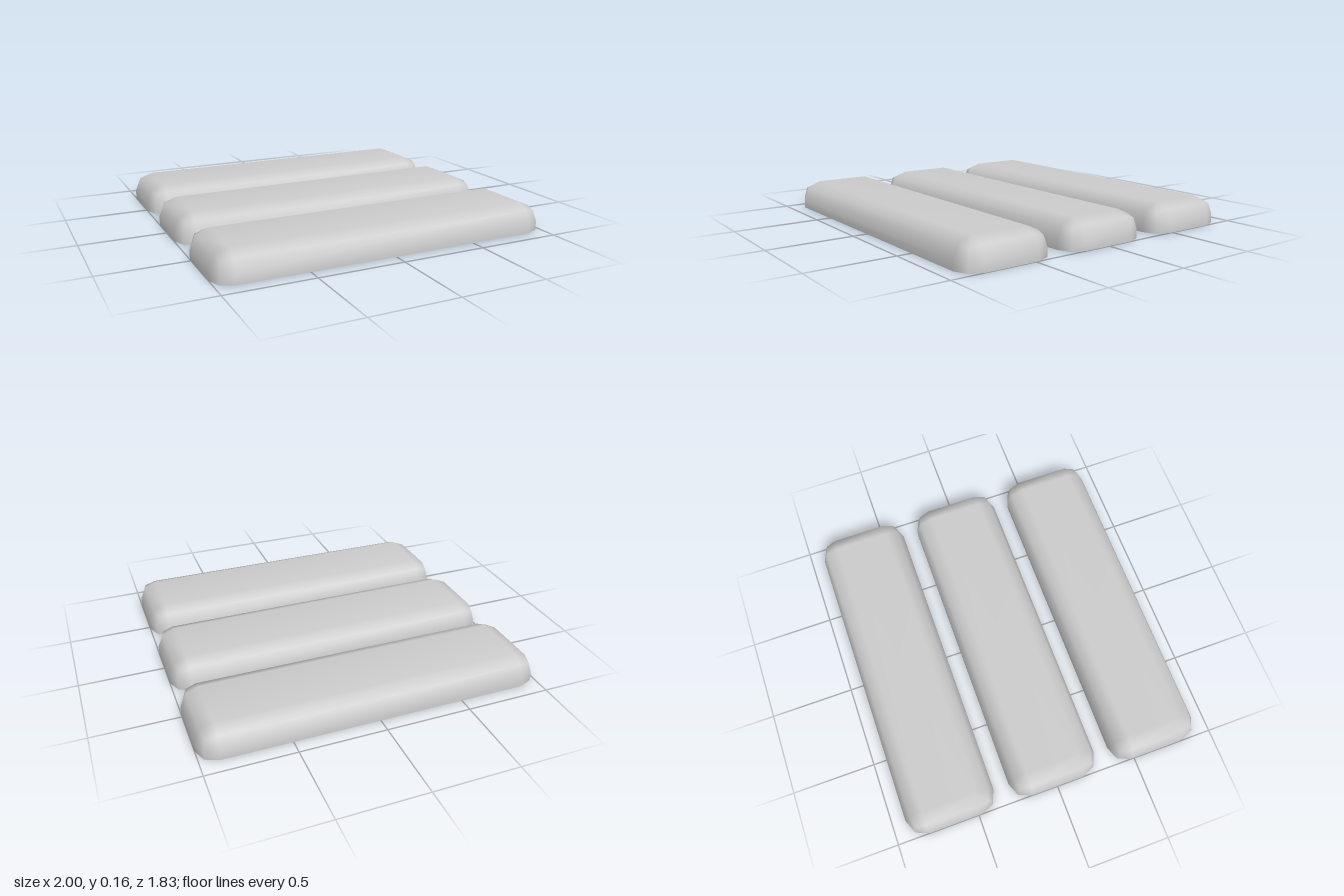
import * as THREE from 'three';

const HALF_X = 1, HALF_Z = 0.273, HEIGHT = 0.163, R = 0.11;

// Open-bottomed slab shell with two-step rounded edges, built as stacked rings.
function slabGeometry() {
  const positions = [], index = [];
  const coreX = HALF_X - R, coreZ = HALF_Z - R, coreY = HEIGHT - R;
  const corners = [[1, -1], [-1, -1], [-1, 1], [1, 1]];

  // Rings of three points per corner: base, top of the wall, middle of the bevel
  for (let ring = 0; ring < 3; ring++) {
    corners.forEach(([sx, sz], k) => {
      for (let j = 0; j < 3; j++) {
        const angle = (k * 2 + j) * Math.PI / 4;
        const lift = ring < 2 ? 0 : j === 1 ? Math.sqrt(1 / 3) : Math.SQRT1_2;
        const r = R * Math.sqrt(1 - lift * lift);
        positions.push(
          sx * coreX + r * Math.cos(angle),
          ring === 0 ? 0 : coreY + R * lift,
          sz * coreZ - r * Math.sin(angle));
      }
    });
  }
  // Flat top: one point per corner
  for (const [sx, sz] of corners) positions.push(sx * coreX, HEIGHT, sz * coreZ);

  const id = (ring, i) => ring < 3 ? ring * 12 + i % 12 : 36 + Math.floor((i % 12) / 3);
  for (let ring = 0; ring < 3; ring++) {
    for (let i = 0; i < 12; i++) {
      const a = id(ring, i), b = id(ring, i + 1), c = id(ring + 1, i + 1), d = id(ring + 1, i);
      index.push(a, b, c);
      if (c !== d) index.push(a, c, d);
    }
  }
  index.push(36, 37, 38, 36, 38, 39);

  const geometry = new THREE.BufferGeometry();
  geometry.setAttribute('position', new THREE.Float32BufferAttribute(positions, 3));
  geometry.setIndex(index);
  geometry.computeVertexNormals();
  return geometry;
}

export function createModel() {
  const group = new THREE.Group();
  group.name = 'slabs';
  const material = new THREE.MeshStandardMaterial({ color: 0xcccccc, side: THREE.DoubleSide });
  const geometry = slabGeometry();

  // Three parallel slabs, back to front
  ['backSlab', 'middleSlab', 'frontSlab'].forEach((name, i) => {
    const slab = new THREE.Mesh(geometry, material);
    slab.name = name;
    slab.position.z = (i - 1) * 0.643;
    group.add(slab);
  });
  return group;
}
